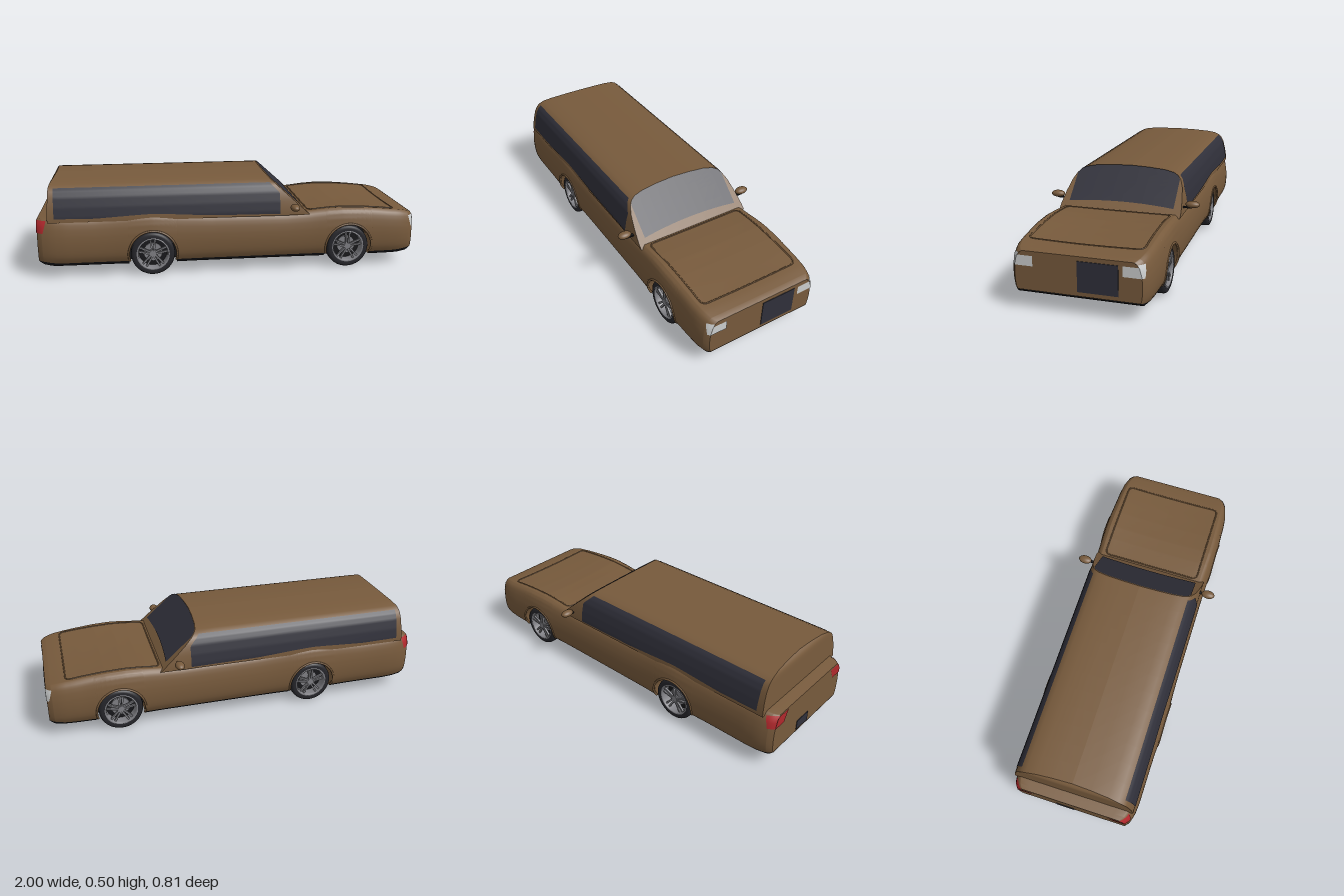
import * as THREE from 'three';

const mat = (name, color) => new THREE.MeshStandardMaterial({ name, color, side: THREE.DoubleSide });

// piecewise linear lookup in [x, value] pairs
function lerpTable(t, x) {
  if (x <= t[0][0]) return t[0][1];
  for (let i = 1; i < t.length; i++) {
    const [x0, v0] = t[i - 1], [x1, v1] = t[i];
    if (x <= x1) return v0 + (v1 - v0) * (x - x0) / (x1 - x0);
  }
  return t[t.length - 1][1];
}

// grid surface: fn(u, v) -> [x, y, z], u and v given as lists of values
function patch(us, vs, fn) {
  const pos = [], idx = [], n = vs.length;
  for (const u of us) for (const v of vs) pos.push(...fn(u, v));
  for (let i = 0; i < us.length - 1; i++) for (let j = 0; j < n - 1; j++) {
    const a = i * n + j, b = a + n;
    idx.push(a, b, a + 1, b, b + 1, a + 1);
  }
  const g = new THREE.BufferGeometry();
  g.setAttribute('position', new THREE.Float32BufferAttribute(pos, 3));
  g.setIndex(idx);
  g.computeVertexNormals();
  return g;
}
const range = (a, b, n) => Array.from({ length: n + 1 }, (_, i) => a + (b - a) * i / n);

// body dimensions, the car drives towards +x
const END = 0.997, WHEELS = [-0.41, 0.635], AXLE = 0.123, ARCH = 0.125, WELL = 0.23;
const TOP = [[-1, .315], [-.93, .325], [-.7, .321], [-.5, .332], [-.41, .336], [-.32, .332], [-.1, .318], [.3, .313],
  [.42, .319], [.52, .329], [.6, .333], [.7, .33], [.8, .322], [.93, .307], [.98, .295], [1, .285]];
const TAPER = [[.86, 0], [.93, .006], [.97, .018], [.985, .027], [1, .041]];
const BULGE = [[0, .87], [.04, .91], [.1, .95], [.2, .983], [.35, .998], [.5, 1], [.65, .992], [.8, .972], [.9, .948], [.96, .92], [1, .87]];
const CABIN = [[.305, .322], [.33, .321], [.38, .313], [.43, .300], [.46, .284], [.475, .268], [.487, .242], [.496, .19], [.502, .1], [.505, 0]];

const topEdge = x => lerpTable(TOP, x);
const halfWidth = x => .337 - lerpTable(TAPER, Math.abs(x)) +
  WHEELS.reduce((s, c) => s + .008 * Math.exp(-(((x - c) / .15) ** 2)), 0);
const sideZ = (x, y) => halfWidth(x) * lerpTable(BULGE, (y - .065) / (topEdge(x) - .065));
const topY = (x, z) => {
  const dip = .012 * Math.sin(Math.PI * Math.min(1, Math.max(0, (x - .4) / .6)));
  return topEdge(x) - dip * (1 - (z / (halfWidth(x) * .87)) ** 2);
};
const floorY = x => lerpTable([[.92, .065], [.97, .078], [1, .1]], Math.abs(x));
const sillY = x => lerpTable([[.9, .086], [1, .1]], Math.abs(x));
const archY = x => {
  for (const c of WHEELS) {
    const d = Math.abs(x - c);
    if (d < ARCH) return AXLE + Math.sqrt(ARCH * ARCH - d * d);
  }
  return 0;
};
const cabinZ = y => lerpTable(CABIN, y);
const cabinFront = y => .4 - (y - .325) / .18 * .2;
const cabinRear = y => lerpTable([[.3, -.94], [.47, -.932], [.49, -.928], [.5, -.918], [.505, -.912]], y);

export function createModel() {
  const model = new THREE.Group();
  model.name = 'longCar';
  const paint = mat('brown paint', 0x775a3c), glass = mat('dark glass', 0x30303a), black = mat('black trim', 0x18181b),
    rubber = mat('tyre rubber', 0x26262b), alloy = mat('alloy grey', 0x808085),
    lamp = mat('clear lamp', 0xcccece), red = mat('red lamp', 0xb0282c);
  const add = (name, geo, m, parent = model) => {
    const mesh = new THREE.Mesh(geo, m);
    mesh.name = name;
    parent.add(mesh);
    return mesh;
  };

  // columns along the car, denser around the wheel arches
  const xs = range(-END, END, 80);
  for (const c of WHEELS) {
    for (const a of range(0, Math.PI, 28)) xs.push(c + (ARCH - 1e-5) * Math.cos(a));
    xs.push(c - ARCH - 1e-4, c + ARCH + 1e-4);
  }
  xs.push(-.985, -.97, .97, .985);
  xs.sort((a, b) => a - b);
  const cuts = [-END, ...WHEELS.flatMap(c => [c - ARCH, c + ARCH]), END];

  for (const s of [1, -1]) {
    // body side, shoulder and top
    add('bodySide', patch(xs, range(0, 24, 24), (x, j) => {
      if (j <= 18) {
        const lo = Math.max(sillY(x), archY(x)), t = j / 18;
        const y = lo + (topEdge(x) - lo) * (1 - (1 - t) ** 1.5);
        return [x, y, s * sideZ(x, y)];
      }
      const z = halfWidth(x) * .87 * (1 - (j - 18) / 6);
      return [x, topY(x, z), s * z];
    }), paint);
    add('sill', patch(xs, [0, .5, 1], (x, t) => {
      const a = archY(x), y = a || floorY(x) + (sillY(x) - floorY(x)) * t;
      return [x, y, s * sideZ(x, y)];
    }), black);
    // outer floor between the wheel wells
    for (let i = 0; i < cuts.length; i += 2) {
      add('outerFloor', patch(range(cuts[i], cuts[i + 1], 24), [0, 1], (x, t) =>
        [x, floorY(x), s * (WELL + (sideZ(x, floorY(x)) - WELL) * t)]), black);
    }
    // wheel wells with arch lips
    for (const c of WHEELS) {
      const path = a => a < 0 ? [c + ARCH, .065] : a > Math.PI ? [c - ARCH, .065]
        : [c + ARCH * Math.cos(a), AXLE + ARCH * Math.sin(a)];
      const angles = [-1, ...range(0, Math.PI, 28), 4];
      add('wheelWell', patch(angles, [0, 1], (a, t) => {
        const [x, y] = path(a);
        return [x, y, s * (WELL + (sideZ(x, y) - WELL) * t)];
      }), paint);
      add('wellInnerWall', patch(angles, [0, 1], (a, t) => {
        const [x, y] = path(a);
        return [x, t ? y : .065, s * WELL];
      }), black);
      const lip = new THREE.CatmullRomCurve3(range(-.3, Math.PI + .3, 24).map(a => {
        const x = c + .126 * Math.cos(a), y = AXLE + .126 * Math.sin(a);
        return new THREE.Vector3(x, y, s * (sideZ(x, y) - .001));
      }));
      add('archLip', new THREE.TubeGeometry(lip, 48, .006, 6), paint);
    }
    // cabin side and half of the roof
    add('cabinSide', patch(range(0, 1, 12), CABIN.map(r => r[0]), (t, y) =>
      [cabinRear(y) + (cabinFront(y) - cabinRear(y)) * t, y, s * cabinZ(y)]), paint);
    add('sideWindow', patch(range(0, 1, 50), range(0, 1, 20), (u, v) => {
      const end = Math.min(.26, cabinFront(.33 + .145 * v) - .025);
      const x = -.905 + (end + .905) * u, y0 = topEdge(x) + .002, y = y0 + (.475 - y0) * v;
      return [x, y, s * (cabinZ(y) + .003)];
    }), glass);

    // mirror
    const mirror = add('mirror', new THREE.SphereGeometry(1, 24, 16), paint);
    mirror.scale.set(.024, .018, .037);
    mirror.position.set(.33, .357, s * .366);
    const stem = add('mirrorStem', new THREE.BoxGeometry(.015, .007, .06), black);
    stem.position.set(.335, .342, s * .335);

    // lamps wrapping the corners
    add('headlamp', patch([.21, .303], [.217, .266], (z, y) => [END + .003, y, s * Math.min(z, sideZ(END, y) + .003)]), lamp);
    add('headlampSide', patch(range(0, 1, 6), range(0, 1, 4), (u, v) => {
      const y = .217 + .06 * v, x = END + .002 - (.012 + .018 * v) * u;
      return [x, y, s * (sideZ(x, y) + .003)];
    }), lamp);
    add('tailLamp', patch([0, 1], range(0, 1, 4), (u, v) => {
      const y = .25 + .062 * v, z0 = .225 - .03 * v;
      return [-END - .003, y, s * (z0 + (sideZ(-END, y) + .002 - z0) * u)];
    }), red);
    add('tailLampSide', patch(range(0, 1, 6), range(0, 1, 4), (u, v) => {
      const y = .25 + .062 * v, x = -END - .002 + (.033 + .018 * v) * u;
      return [x, y, s * (sideZ(x, y) + .003)];
    }), red);

    // wheels
    for (const c of WHEELS) {
      const wheel = buildWheel(add, rubber, alloy, black);
      wheel.position.set(c, .119, s * .2825);
      if (s < 0) wheel.rotation.y = Math.PI;
      model.add(wheel);
    }
  }

  // flat ends and floor
  for (const e of [-END, END]) {
    add(e > 0 ? 'nose' : 'tail', patch(range(0, 1, 16), [-1, 0, 1], (t, k) => {
      const y = sillY(e) + (topEdge(e) - sillY(e)) * t;
      return [e, y, k * sideZ(e, y)];
    }), paint);
  }
  add('floor', patch(range(-END, END, 80), [-WELL, WELL], (x, z) => [x, floorY(x), z]), black);

  // cabin front and rear closures with the windscreen
  const rows = CABIN.map(r => r[0]);
  add('cabinRear', patch(rows, range(-1, 1, 8), (y, k) => [cabinRear(y), y, k * cabinZ(y)]), paint);
  add('windscreenFrame', patch(rows, range(-1, 1, 8), (y, k) => [cabinFront(y), y, k * cabinZ(y)]), paint);
  add('windscreen', patch([.34, .38, .43, .445, .46, .475, .487, .496, .502, .505], range(-1, 1, 10), (y, k) => {
    const low = y < .35 ? .012 * (1 - k * k) : 0;
    return [cabinFront(y + low) + .003, y + low + .002, k * Math.min(.28, cabinZ(y))];
  }), glass);

  // hood seam following the bonnet surface
  const seam = [];
  const corner = (cx, cz, a0) => range(a0, a0 + Math.PI / 2, 4).forEach(a => seam.push([cx + .025 * Math.cos(a), cz + .025 * Math.sin(a)]));
  const edge = (a, b) => range(0, 1, 8).slice(1, -1).forEach(t => seam.push([a[0] + (b[0] - a[0]) * t, a[1] + (b[1] - a[1]) * t]));
  corner(.87, .25, 0); edge([.87, .275], [.445, .275]);
  corner(.445, .25, Math.PI / 2); edge([.42, .25], [.42, -.25]);
  corner(.445, -.25, Math.PI); edge([.445, -.275], [.87, -.275]);
  corner(.87, -.25, Math.PI * 1.5); edge([.895, -.25], [.895, .25]);
  const seamCurve = new THREE.CatmullRomCurve3(seam.filter((p, i) => !i || Math.hypot(p[0] - seam[i - 1][0], p[1] - seam[i - 1][1]) > 1e-4)
    .map(([x, z]) => new THREE.Vector3(x, topY(x, z), z)), true);
  add('hoodSeam', new THREE.TubeGeometry(seamCurve, 160, .004, 6, true), paint);

  // offset grille and rear plate
  add('grille', new THREE.BoxGeometry(.004, .145, .19), glass).position.set(END + .001, .193, -.095);
  add('rearPlate', new THREE.BoxGeometry(.004, .055, .1), glass).position.set(-END - .001, .138, -.04);
  return model;
}

// wheel with its outer face towards +z
function buildWheel(add, rubber, alloy, black) {
  const wheel = new THREE.Group();
  wheel.name = 'wheel';
  const lathe = pts => new THREE.LatheGeometry(pts.map(p => new THREE.Vector2(...p)), 40).rotateX(Math.PI / 2);
  add('tyre', lathe([[.083, -.043], [.1, -.043], [.11, -.038], [.114, -.028], [.115, 0], [.114, .028], [.11, .038], [.1, .043], [.083, .041]]), rubber, wheel);
  add('rim', lathe([[.087, .041], [.083, .044], [.078, .041], [.076, .03], [.074, -.03], [.084, -.043]]), alloy, wheel);
  add('wheelBack', new THREE.CylinderGeometry(.082, .082, .01, 32).rotateX(Math.PI / 2), black, wheel).position.z = -.012;
  add('brakeDisc', new THREE.CylinderGeometry(.05, .05, .008, 32).rotateX(Math.PI / 2), alloy, wheel).position.z = -.002;
  add('hub', new THREE.CylinderGeometry(.017, .022, .018, 20).rotateX(Math.PI / 2), alloy, wheel).position.z = .026;
  for (let i = 0; i < 5; i++) {
    for (const k of [-1, 1]) {
      const spoke = new THREE.BoxGeometry(.009, .066, .012).translate(0, .045, 0);
      spoke.rotateZ(k * .1).translate(k * -.004, 0, .028).rotateZ(i * Math.PI * 2 / 5);
      add('spoke', spoke, alloy, wheel);
    }
  }
  return wheel;
}
